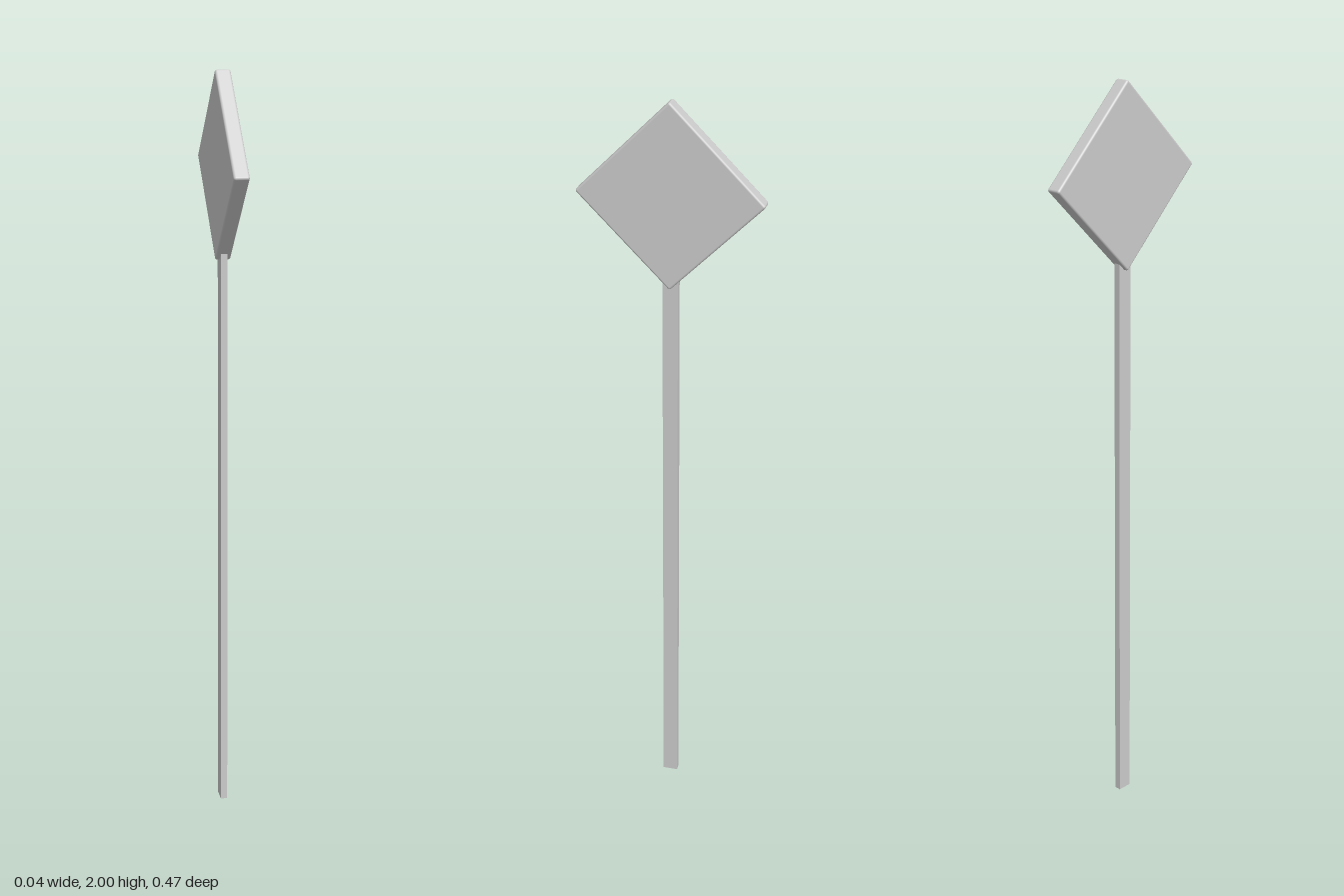
import * as THREE from 'three';
import { RoundedBoxGeometry } from 'three/addons/geometries/RoundedBoxGeometry.js';

export function createModel() {
  const group = new THREE.Group();
  const material = new THREE.MeshStandardMaterial({ color: 0xcccccc });

  // Flat rectangular post, running up to just inside the panel's lower corner
  const postHeight = 1.56;
  const post = new THREE.Mesh(new THREE.BoxGeometry(0.018, postHeight, 0.04), material);
  post.name = 'post';
  post.position.y = postHeight / 2;
  group.add(post);

  // Square sign panel with softened edges, turned onto its corner
  const radius = 0.006;
  const reach = 0.237; // centre to rounded corner
  const side = 2 * ((reach - radius) / Math.SQRT2 + radius);
  const panel = new THREE.Mesh(new RoundedBoxGeometry(0.04, side, side, 3, radius), material);
  panel.name = 'signPanel';
  panel.rotation.x = Math.PI / 4;
  panel.position.y = 2 - reach;
  group.add(panel);

  return group;
}
